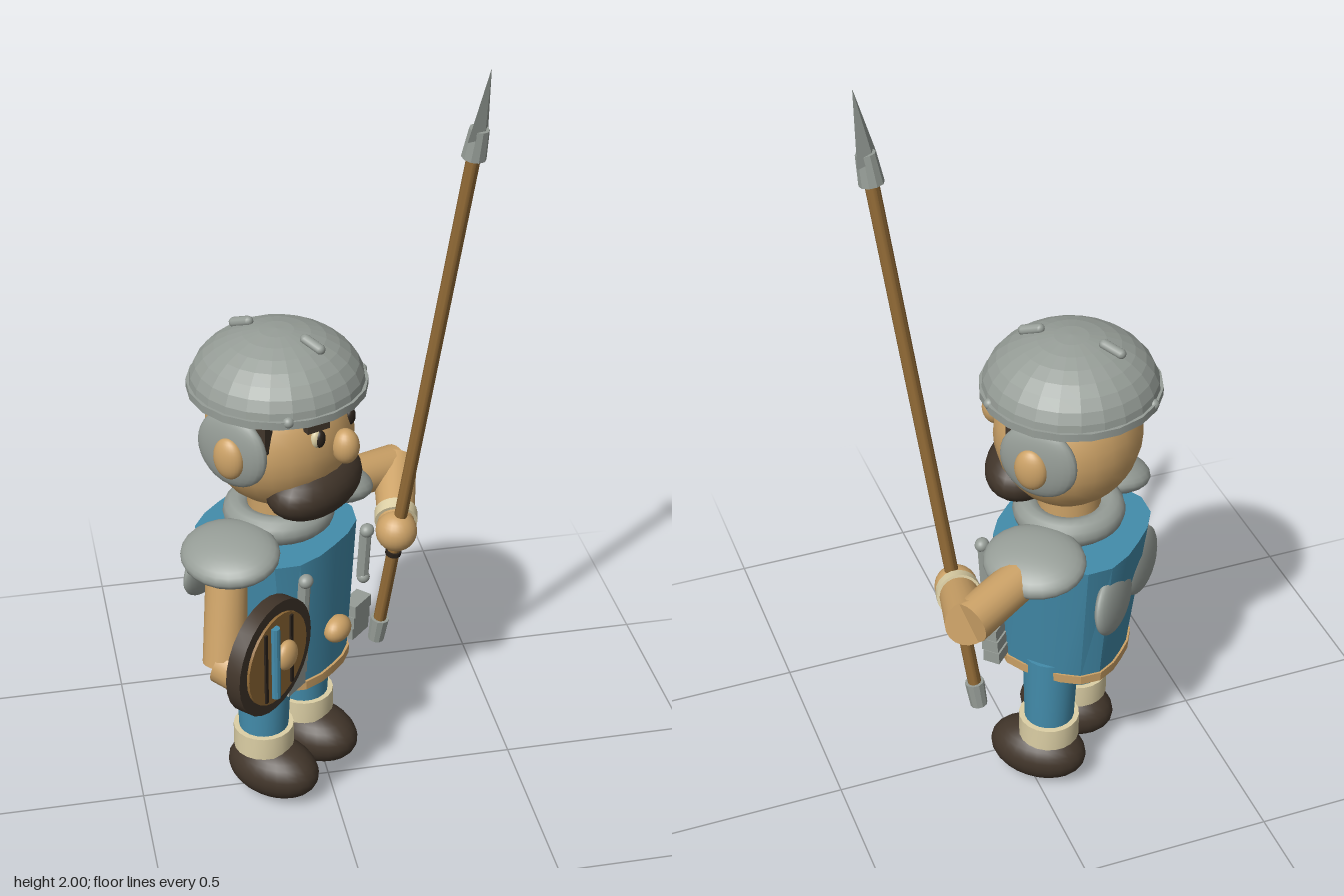
import * as THREE from 'three';
import { toCreasedNormals } from 'three/addons/utils/BufferGeometryUtils.js';

const V = (x, y, z) => new THREE.Vector3(x, y, z);
const paint = (name, color) => {
  const m = new THREE.MeshStandardMaterial({ color });
  m.name = name;
  return m;
};

export function createModel() {
  const steel = paint('steel', 0x969d97);
  const skin = paint('skin', 0xcca267);
  const cloth = paint('blue cloth', 0x438cab);
  const hair = paint('dark brown', 0x41352a);
  const cream = paint('cream', 0xdccfa5);
  const wood = paint('wood', 0x916a36);
  const black = paint('black', 0x2a221b);

  const model = new THREE.Group();
  model.name = 'soldier';
  // The figure is turned towards the corner between +x and +z
  const body = new THREE.Group();
  body.name = 'figure';
  body.position.set(-0.115, 0, -0.06);
  body.rotation.y = Math.PI / 4;
  model.add(body);

  const add = (name, geometry, material, p = V(0, 0, 0)) => {
    const mesh = new THREE.Mesh(geometry, material);
    mesh.name = name;
    mesh.position.copy(p);
    body.add(mesh);
    return mesh;
  };
  const ball = (name, m, p, rx, ry, rz) => {
    const mesh = add(name, new THREE.SphereGeometry(1, 24, 16), m, p);
    mesh.scale.set(rx, ry, rz);
    return mesh;
  };
  const box = (name, m, p, w, h, d) => add(name, new THREE.BoxGeometry(w, h, d), m, p);
  // Tapered cylinder from a to b
  const rod = (name, m, a, b, ra, rb, n = 20) => {
    const d = b.clone().sub(a);
    const g = toCreasedNormals(new THREE.CylinderGeometry(rb, ra, d.length(), n), 0.6);
    const mesh = add(name, g, m, a.clone().add(b).multiplyScalar(0.5));
    mesh.quaternion.setFromUnitVectors(V(0, 1, 0), d.normalize());
    return mesh;
  };
  // Squarish tapered block: half width, half depth and z offset at the bottom and top
  const squarish = (y0, y1, bottom, top) => {
    const g = new THREE.CylinderGeometry(1, 1, y1 - y0, 20);
    const p = g.attributes.position;
    for (let i = 0; i < p.count; i++) {
      const x = p.getX(i), z = p.getZ(i);
      const r = Math.pow(Math.abs(x) ** 3 + Math.abs(z) ** 3, 1 / 3) || 1;
      const [a, b, dz] = p.getY(i) > 0 ? top : bottom;
      p.setXYZ(i, (x / r) * a, p.getY(i) + (y0 + y1) / 2, (z / r) * b + dz);
    }
    return toCreasedNormals(g, 0.5);
  };

  // Legs and boots
  for (const s of [-1, 1]) {
    ball('boot', hair, V(s * 0.093, 0.08, 0.038), 0.09, 0.078, 0.132);
    rod('bootCuff', cream, V(s * 0.093, 0.145, 0.008), V(s * 0.093, 0.21, 0.008), 0.079, 0.079);
    rod('leg', cloth, V(s * 0.093, 0.18, 0.008), V(s * 0.087, 0.42, 0.008), 0.064, 0.073);
  }

  // Tunic with hem
  add('tunic', squarish(0.39, 0.775, [0.145, 0.153, 0.006], [0.193, 0.18, -0.01]), cloth);
  add('hem', squarish(0.377, 0.403, [0.15, 0.159, 0.006], [0.151, 0.16, 0.006]), skin);
  ball('bellyButton', skin, V(0, 0.523, 0.178), 0.043, 0.035, 0.032);

  // Armour on the torso
  const collar = add('collar', new THREE.TorusGeometry(0.105, 0.037, 12, 28), steel, V(0, 0.824, 0));
  collar.rotation.x = Math.PI / 2;
  for (const s of [-1, 1]) {
    const pad = ball('shoulderPad', steel, V(s * 0.21, 0.802, 0), 0.112, 0.047, 0.13);
    pad.rotation.z = -s * 0.22;
    const plate = ball('backPlate', steel, V(s * 0.087, 0.645, -0.161), 0.103, 0.085, 0.026);
    plate.rotation.x = 0.11;
    // Chest strap with a knob at each end
    rod('strap', steel, V(s * 0.138, 0.6, 0.163), V(s * 0.138, 0.74, 0.172), 0.016, 0.016, 8);
    ball('strapKnob', steel, V(s * 0.138, 0.6, 0.166), 0.017, 0.017, 0.017);
    ball('strapKnob', steel, V(s * 0.138, 0.745, 0.176), 0.02, 0.018, 0.018);
    // Hip guard of three slats
    for (let i = 0; i < 3; i++)
      box('hipSlat', steel, V(s * 0.147, 0.427 + i * 0.036, 0.131 + i * 0.004), 0.075, 0.034, 0.045);
  }

  // Head
  rod('neck', skin, V(0, 0.76, 0), V(0, 0.93, 0), 0.08, 0.08);
  ball('head', skin, V(0, 1.065, 0.005), 0.192, 0.195, 0.183);
  ball('beard', hair, V(0, 0.942, 0.108), 0.155, 0.08, 0.1);
  ball('nose', skin, V(0, 1.072, 0.2), 0.034, 0.046, 0.035);
  for (const s of [-1, 1]) {
    ball('eye', cream, V(s * 0.068, 1.115, 0.162), 0.02, 0.027, 0.014);
    ball('pupil', black, V(s * 0.066, 1.114, 0.17), 0.016, 0.023, 0.012);
    const brow = box('eyebrow', hair, V(s * 0.07, 1.153, 0.16), 0.062, 0.024, 0.03);
    brow.rotation.y = s * 0.4;
    box('sideburn', hair, V(s * 0.165, 1.14, 0.06), 0.03, 0.09, 0.06);
    ball('earGuard', steel, V(s * 0.19, 1.09, 0), 0.03, 0.1, 0.1);
    ball('ear', skin, V(s * 0.216, 1.08, 0.008), 0.026, 0.055, 0.042);
  }

  // Helmet
  const dome = new THREE.SphereGeometry(1, 24, 8, 0, Math.PI * 2, 0, Math.PI / 2).toNonIndexed();
  dome.scale(0.217, 0.145, 0.217);
  dome.computeVertexNormals();
  add('helmetDome', dome, steel, V(0, 1.19, 0));
  rod('helmetRim', steel, V(0, 1.18, 0), V(0, 1.2, 0), 0.223, 0.223, 20);
  for (const s of [-1, 1]) {
    const peg = add('crestPeg', new THREE.CapsuleGeometry(0.013, 0.045, 4, 10), steel, V(0, 1.322, s * 0.105));
    peg.rotation.x = s * (Math.PI / 2 + 0.35);
    ball('rivet', steel, V(s * 0.158, 1.195, 0.142), 0.014, 0.014, 0.014);
  }
  ball('rivet', steel, V(0, 1.195, -0.213), 0.014, 0.014, 0.014);

  // Arms: shoulder, elbow, hand
  const arm = (side, shoulder, elbow, hand) => {
    rod(side + 'UpperArm', skin, shoulder, elbow, 0.052, 0.055);
    rod(side + 'Forearm', skin, elbow, hand, 0.058, 0.046);
    const at = (t) => elbow.clone().lerp(hand, t);
    rod(side + 'Cuff', cream, at(0.72), at(0.86), 0.056, 0.056);
    ball(side + 'Hand', skin, hand, 0.054, 0.054, 0.054);
  };
  arm('left', V(0.2, 0.785, 0), V(0.436, 0.755, 0.07), V(0.251, 0.69, 0.194));
  arm('right', V(-0.225, 0.77, 0), V(-0.278, 0.525, 0.025), V(-0.28, 0.495, 0.135));

  // Spear, leaning forward
  const foot = V(0.254, 0.325, 0.134), tip = V(0.252, 2, 0.42);
  const along = (t) => foot.clone().lerp(tip, t);
  rod('spearShaft', wood, along(0.02), along(0.89), 0.017, 0.017, 12);
  rod('spearFerrule', steel, foot, along(0.042), 0.022, 0.025, 10);
  rod('spearBand', black, along(0.172), along(0.18), 0.021, 0.021, 12);
  rod('spearSocket', steel, along(0.868), along(0.912), 0.03, 0.024, 10);
  const blade = rod('spearBlade', steel, along(0.9), tip, 0.046, 0.001, 4);
  blade.scale.z = 0.4;

  // Round shield facing forward
  const c = V(-0.284, 0.607, 0.166);
  const by = (x, y, z) => c.clone().add(V(x, y, z));
  rod('shieldRim', hair, by(0, 0, -0.02), by(0, 0, 0.02), 0.152, 0.152, 28);
  rod('shieldFace', wood, by(0, 0, 0.018), by(0, 0, 0.027), 0.122, 0.122, 28);
  for (const s of [-1, 1])
    box('shieldGroove', black, by(s * 0.054, 0, 0.028), 0.01, 0.2, 0.008);
  rod('shieldStripe', cloth, by(-0.018, -0.103, 0.032), by(-0.018, 0.103, 0.032), 0.012, 0.012, 10);
  ball('shieldBoss', skin, by(0.024, 0, 0.036), 0.036, 0.04, 0.022);

  return model;
}
